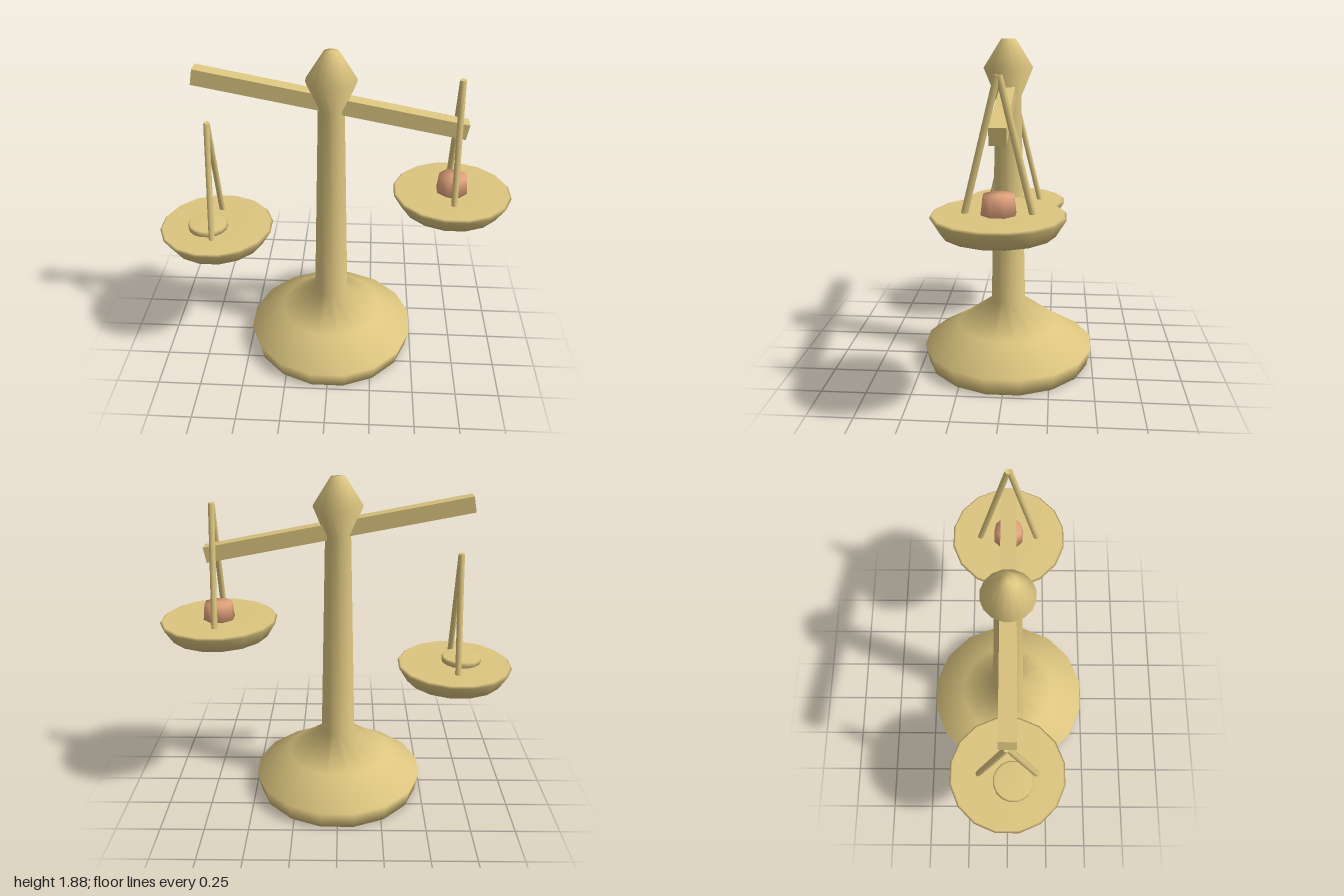
import * as THREE from 'three';

const gold = new THREE.MeshStandardMaterial({ color: 0xdcc57f });
gold.name = 'brass';
const pink = new THREE.MeshStandardMaterial({ color: 0xe0a27c });
pink.name = 'copper';

// Smooth turned part with a flat side facing front
function turned(name, profile, sides, material) {
  const points = profile.map(([r, y]) => new THREE.Vector2(r, y));
  const mesh = new THREE.Mesh(new THREE.LatheGeometry(points, sides, Math.PI / sides), material);
  mesh.name = name;
  return mesh;
}

// Thin round rod between two points
function rod(name, a, b, radius) {
  const dir = b.clone().sub(a);
  const mesh = new THREE.Mesh(new THREE.CylinderGeometry(radius, radius, dir.length(), 8), gold);
  mesh.position.copy(a).add(b).multiplyScalar(0.5);
  mesh.quaternion.setFromUnitVectors(new THREE.Vector3(0, 1, 0), dir.normalize());
  mesh.name = name;
  return mesh;
}

// Pan with its two hanger rods; local y = 0 is the pan's rim
function hangingPan(name, x, y) {
  const group = new THREE.Group();
  group.name = name;
  group.position.set(x, y, 0);
  group.add(turned('pan', [[0, -0.123], [0.28, -0.095], [0.33, -0.012], [0.318, 0], [0, -0.005]], 16, gold));
  for (const side of [-1, 1]) {
    group.add(rod('hangerRod', new THREE.Vector3(0, -0.03, side * 0.17), new THREE.Vector3(0, 0.648, side * 0.004), 0.017));
  }
  return group;
}

export function createModel() {
  const model = new THREE.Group();
  model.name = 'balanceScale';

  // Base, column and finial turned as one piece
  model.add(turned('stand', [
    [0, 0], [0.478, 0], [0.5, 0.103], [0.3, 0.228], [0.1, 0.375],
    [0.072, 1.57], [0.137, 1.727], [0.04, 1.88], [0, 1.88],
  ], 16, gold));

  // Tilted beam
  const beam = new THREE.Mesh(new THREE.BoxGeometry(1.472, 0.086, 0.083), gold);
  beam.name = 'beam';
  beam.position.set(0, 1.603, 0);
  beam.rotation.z = -0.191;
  model.add(beam);

  // Pans and the weights lying in them
  const rightPan = hangingPan('rightPan', -0.675, 0.815);
  const disc = turned('discWeight', [[0, -0.01], [0.114, -0.01], [0.114, 0.02], [0.105, 0.029], [0, 0.029]], 16, gold);
  disc.position.set(-0.045, 0, 0.032);
  rightPan.add(disc);

  const leftPan = hangingPan('leftPan', 0.675, 1.09);
  leftPan.add(turned('blockWeight', [[0, -0.02], [0.092, -0.02], [0.079, 0.09], [0, 0.09]], 8, pink));

  model.add(rightPan, leftPan);
  return model;
}
